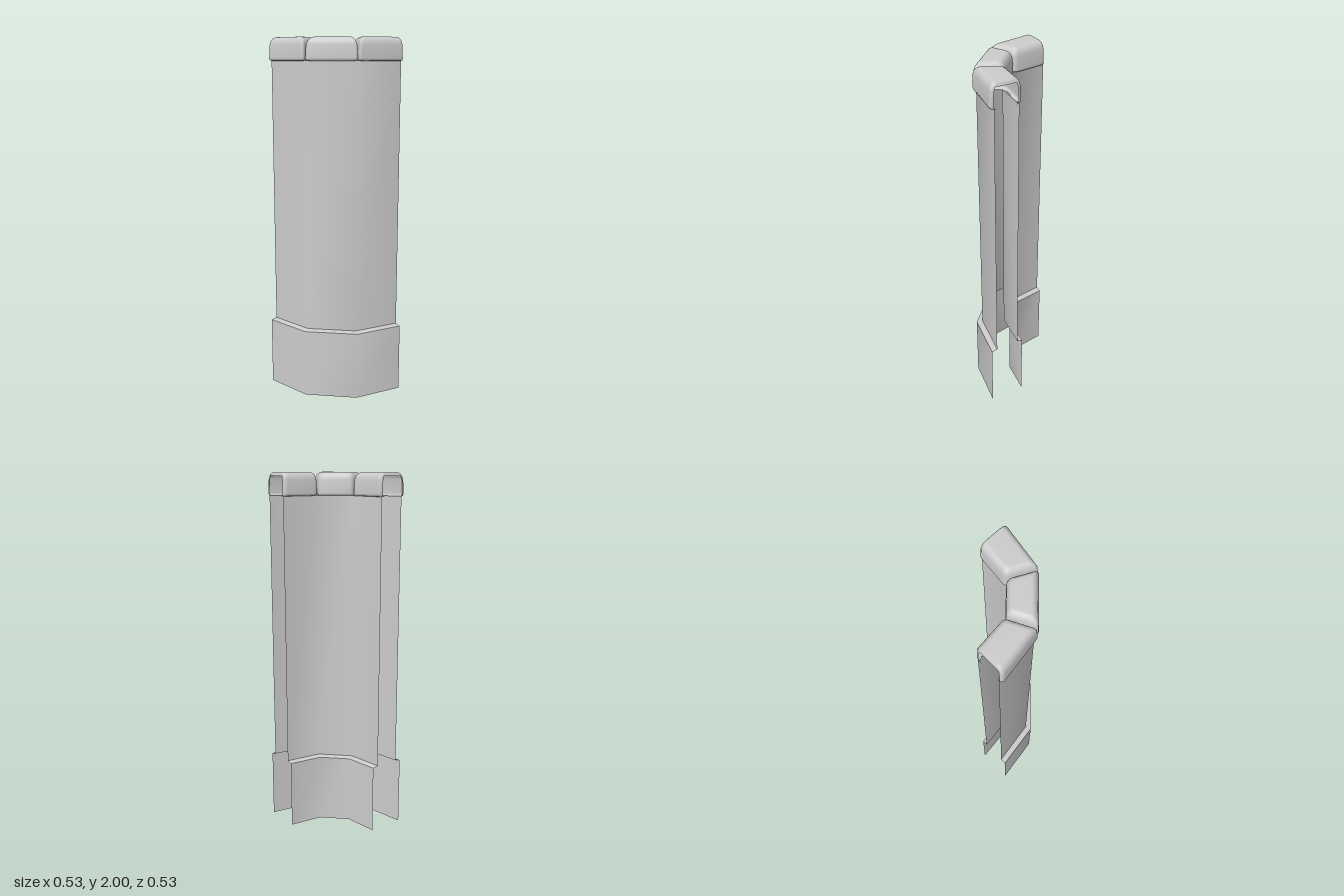
import * as THREE from 'three';

const material = new THREE.MeshStandardMaterial({ color: 0xcccccc, side: THREE.DoubleSide });

// Plan outlines [x, z]; the inner path and outer path each bend around the corner
const BASE_OUTER = [[-0.267, 0.265], [0.008, 0.217], [0.217, 0.008], [0.265, -0.267]];
const BASE_INNER = [[0.067, -0.267], [0.042, -0.08], [-0.08, 0.042], [-0.267, 0.067]];
const WALL_OUTER = [[-0.267, 0.232], [-0.0065, 0.1865], [0.1865, -0.0065], [0.232, -0.267]];
const WALL_INNER = [[0.099, -0.267], [0.072, -0.065], [-0.065, 0.072], [-0.267, 0.099]];

// Skin rows of [x, y, z] points; skip(row, column) leaves a quad out
function skin(rows, { closed = false, cap = false, skip = () => false } = {}) {
  const n = rows[0].length;
  const pos = rows.flat(2);
  const index = [];
  for (let j = 0; j < rows.length - 1; j++) {
    for (let i = 0; i < (closed ? n : n - 1); i++) {
      if (skip(j, i)) continue;
      const k = (i + 1) % n;
      const a = j * n + i, b = j * n + k, c = b + n, d = a + n;
      index.push(a, b, c, a, c, d);
    }
  }
  if (cap) {
    const top = rows[rows.length - 1];
    const mid = [0, 1, 2].map((q) => top.reduce((s, p) => s + p[q], 0) / n);
    const start = (rows.length - 1) * n;
    pos.push(...mid);
    for (let i = 0; i < n; i++) index.push(rows.length * n, start + i, start + ((i + 1) % n));
  }
  const g = new THREE.BufferGeometry();
  g.setAttribute('position', new THREE.Float32BufferAttribute(pos, 3));
  g.setIndex(index);
  g.computeVertexNormals();
  return g;
}

const atHeight = (path, y) => path.map(([x, z]) => [x, y, z]);

// Offset a four-cornered outline inwards, then round its corners
function roundedOutline(poly, insets, radius) {
  const n = poly.length;
  const P = poly.map(([x, z]) => new THREE.Vector2(x, z));
  const lines = P.map((p, i) => {
    const dir = P[(i + 1) % n].clone().sub(p).normalize();
    const inward = new THREE.Vector2(dir.y, -dir.x);
    return { p: p.clone().addScaledVector(inward, insets[i]), dir };
  });
  const corners = lines.map((l, i) => {
    const m = lines[(i + n - 1) % n];
    const t = l.p.clone().sub(m.p).cross(l.dir) / m.dir.cross(l.dir);
    return m.p.clone().addScaledVector(m.dir, t);
  });
  return corners.flatMap((c, i) => {
    const before = c.clone().addScaledVector(lines[(i + n - 1) % n].dir, -radius);
    const after = c.clone().addScaledVector(lines[i].dir, radius);
    return new THREE.QuadraticBezierCurve(before, c, after).getPoints(4).map((v) => [v.x, v.y]);
  });
}

// Rounded coping stone, hollow underneath; openEnd leaves the cut end (edge 3) open
function copingStone(poly, openEnd) {
  const levels = [[1.875, 0.02], [1.878, 0.004], [1.89, 0], [1.96, 0.003], [1.98, 0.009],
    [1.992, 0.018], [1.998, 0.027], [2, 0.036]];
  const rows = levels.map(([y, d], j) => {
    const endInset = openEnd ? (j < 3 ? 0 : d * 0.4) : d;
    return atHeight(roundedOutline(poly, [d, d, d, endInset], 0.02), y);
  });
  const n = rows[0].length;
  return skin(rows, { closed: true, cap: true, skip: (j, i) => openEnd && i === n - 1 && j < 4 });
}

export function createModel() {
  const model = new THREE.Group();
  const add = (parent, geometry, name) => {
    const mesh = new THREE.Mesh(geometry, material);
    mesh.name = name;
    parent.add(mesh);
  };
  const group = (name) => {
    const g = new THREE.Group();
    g.name = name;
    model.add(g);
    return g;
  };

  // Wide plinth and slimmer wall, open at both cut ends, with a sloped ledge between
  const plinth = group('plinth');
  const wall = group('wall');
  const sides = [['outer', BASE_OUTER, WALL_OUTER], ['inner', BASE_INNER, WALL_INNER]];
  for (const [side, base, shaft] of sides) {
    add(plinth, skin([atHeight(base, 0), atHeight(base, 0.385)]), side + 'PlinthFace');
    add(plinth, skin([atHeight(base, 0.385), atHeight(shaft, 0.392)]), side + 'Ledge');
    add(wall, skin([atHeight(shaft, 0.392), atHeight(shaft, 1.877)]), side + 'WallFace');
  }

  // Three coping stones; the end stones mirror each other across the diagonal
  const coping = group('coping');
  const endStone = [[0.083, -0.267], [0.06, -0.074], [0.208, 0.001], [0.256, -0.267]];
  const mirrored = endStone.map(([x, z]) => [z, x]).reverse();
  const middleStone = [[0.063, -0.068], [-0.068, 0.063], [0.002, 0.204], [0.204, 0.002]];
  add(coping, copingStone(endStone, true), 'leftCopingStone');
  add(coping, copingStone(middleStone, false), 'middleCopingStone');
  add(coping, copingStone(mirrored, true), 'rightCopingStone');

  return model;
}
